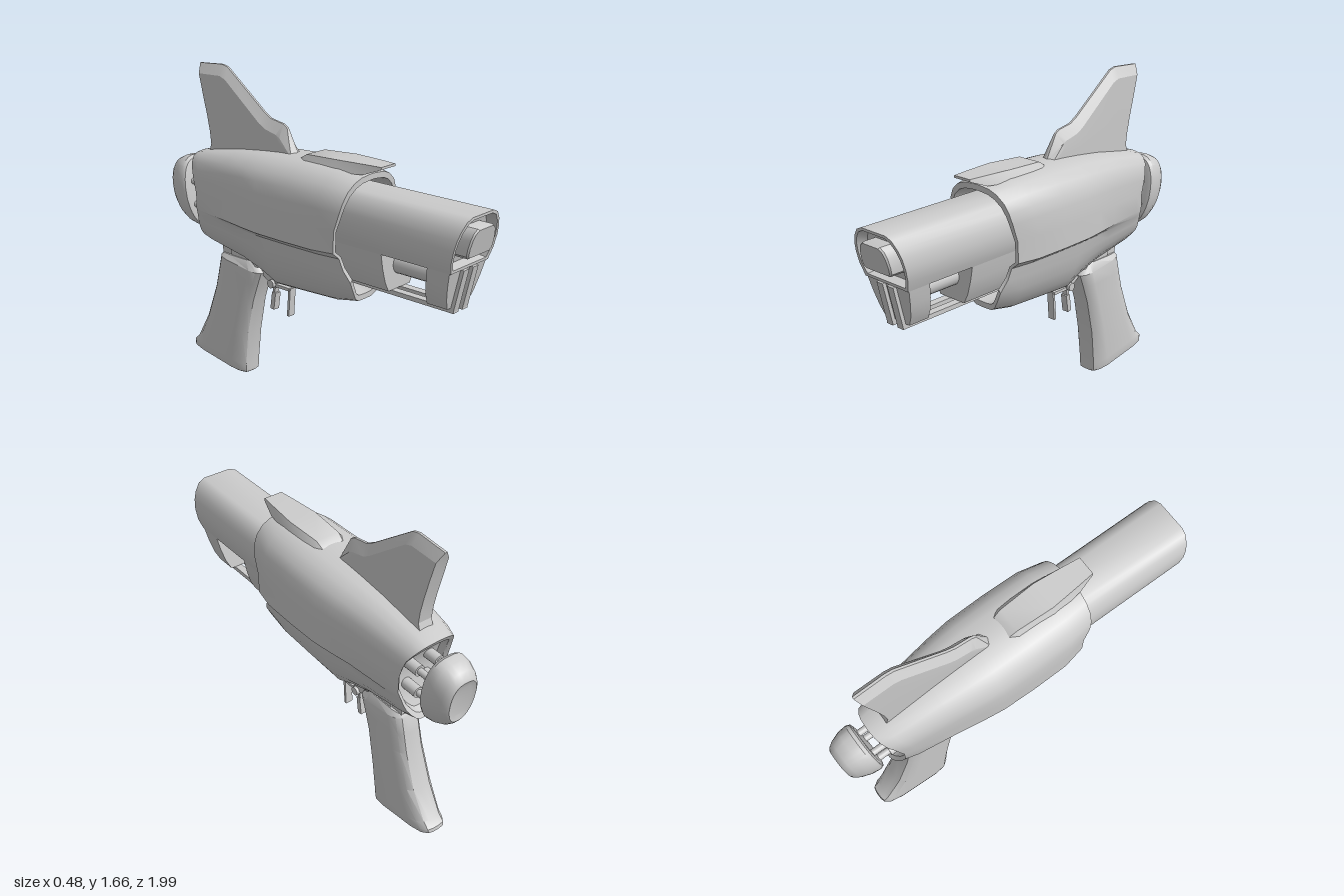
import * as THREE from 'three';
import { toCreasedNormals } from 'three/addons/utils/BufferGeometryUtils.js';

const material = new THREE.MeshStandardMaterial({ color: 0xcccccc, side: THREE.DoubleSide });

// Linear lookup in a list of [key, value] pairs with rising keys
function lookup(table, k) {
  if (k <= table[0][0]) return table[0][1];
  for (let i = 1; i < table.length; i++) {
    const [k0, v0] = table[i - 1], [k1, v1] = table[i];
    if (k <= k1) return v0 + (v1 - v0) * (k - k0) / (k1 - k0);
  }
  return table[table.length - 1][1];
}

// Closed skin through half sections of [x, y, z], each mirrored across x = 0
function loft(halves, crease = 0.6) {
  const rings = halves.map(h => [...h, ...h.map(([x, y, z]) => [-x, y, z]).reverse()]);
  const n = rings[0].length, pos = rings.flat(2), idx = [];
  for (let r = 0; r < rings.length - 1; r++) {
    for (let i = 0; i < n; i++) {
      const a = r * n + i, b = r * n + (i + 1) % n;
      idx.push(a, b, b + n, a, b + n, a + n);
    }
  }
  const last = (rings.length - 1) * n;
  for (let i = 0; i < n / 2 - 1; i++) {
    const a = i, b = i + 1, c = n - 2 - i, d = n - 1 - i;
    idx.push(a, c, b, a, d, c);
    idx.push(last + a, last + b, last + c, last + a, last + c, last + d);
  }
  // Turn the faces outward by the sign of the enclosed volume
  const p = i => new THREE.Vector3().fromArray(pos, i * 3);
  let volume = 0;
  for (let i = 0; i < idx.length; i += 3) volume += p(idx[i]).dot(p(idx[i + 1]).cross(p(idx[i + 2])));
  if (volume < 0) idx.reverse();
  const g = new THREE.BufferGeometry();
  g.setAttribute('position', new THREE.Float32BufferAttribute(pos, 3));
  g.setIndex(idx);
  return toCreasedNormals(g, crease);
}

export function createModel() {
  const gun = new THREE.Group();
  gun.name = 'toyBlaster';

  const add = (name, geometry) => {
    const m = new THREE.Mesh(geometry, material);
    m.name = name;
    gun.add(m);
    return m;
  };
  // Box-shaped bar between two points
  const bar = (name, a, b, w, h) => {
    const from = new THREE.Vector3(...a), to = new THREE.Vector3(...b);
    const m = add(name, new THREE.BoxGeometry(w, h, from.distanceTo(to)));
    m.position.copy(from).lerp(to, 0.5);
    m.lookAt(to);
  };
  // Cylinder along z
  const rod = (name, x, y, z0, z1, r) => {
    const m = add(name, new THREE.CylinderGeometry(r, r, Math.abs(z1 - z0), 16));
    m.rotation.x = Math.PI / 2;
    m.position.set(x, y, (z0 + z1) / 2);
  };

  // Body shell: wavy front edge, concave rear edge, stepped side seam
  const frontEdge = [[0.63, 0.32], [0.73, 0.35], [0.78, 0.34], [0.83, 0.3], [0.92, 0.295], [1.05, 0.3], [1.12, 0.335], [1.28, 0.365]];
  const rearEdge = [[0.73, -0.76], [0.8, -0.735], [0.9, -0.715], [1, -0.715], [1.1, -0.745], [1.19, -0.8]];
  const upper = [[0.08, 1], [0.4, 0.98], [0.62, 0.93], [0.82, 0.83], [0.94, 0.7], [0.99, 0.55], [1, 0.3], [1, 0]];
  const lower = [[1, 0], [0.92, 0.25], [0.82, 0.5], [0.64, 0.75], [0.45, 0.93], [0.3, 0.99], [0.05, 1]];
  const bodySection = (z, w, top, bottom, step, scale = 1, shift = 0) => {
    const t = (0.33 - z) / 1.1;
    return [
      ...upper.map(([x, f]) => [x * w, 0.91 + f * (top - 0.91)]),
      ...lower.map(([x, f]) => [x * w * step, 0.875 + f * (bottom - 0.875)]),
    ].map(([x, y]) => [x * scale, 0.95 + (y - 0.95) * scale,
      THREE.MathUtils.lerp(lookup(frontEdge, y), lookup(rearEdge, y), t) + shift]);
  };
  const front = [0.33, 0.205, 1.27, 0.635, 0.8], rear = [-0.77, 0.145, 1.19, 0.73, 0.92];
  add('bodyShell', loft([
    bodySection(...front, 0.86, -0.14),
    bodySection(...front, 0.91, 0),
    bodySection(...front),
    bodySection(0.2, 0.23, 1.29, 0.61, 0.78),
    bodySection(0, 0.233, 1.29, 0.6, 0.78),
    bodySection(-0.2, 0.229, 1.282, 0.59, 0.78),
    bodySection(-0.31, 0.216, 1.272, 0.635, 0.8),
    bodySection(-0.45, 0.195, 1.255, 0.675, 0.84),
    bodySection(-0.7, 0.163, 1.21, 0.715, 0.9),
    bodySection(...rear),
    bodySection(...rear, 0.88, 0.015),
    bodySection(...rear, 0.82, 0.05),
  ]));

  // Raised strip on top of the body, reaching forward as a visor
  add('topVisor', loft([
    [0.45, 0.05, 1.322, 0.052, 1.31], [0.36, 0.06, 1.322, 0.075, 1.275], [0.2, 0.075, 1.32, 0.1, 1.265],
    [0, 0.065, 1.31, 0.1, 1.26], [-0.04, 0.06, 1.285, 0.09, 1.25],
  ].map(([z, x0, y0, x1, y1]) => [[x0, y0, z], [x1, y1, z]])));

  // Barrel with slanted, recessed mouth
  const slant = y => 0.98 - (1.2 - y) * 0.234;
  const barrel = [[0.08, 1.203], [0.115, 1.187], [0.142, 1.15], [0.158, 1.11], [0.165, 1.06], [0.16, 1], [0.14, 0.945]];
  const mouth = (s, shift) => barrel.map(([x, y]) => [x * s, 1.075 + (y - 1.075) * s, slant(y) + shift]);
  add('barrel', loft([
    mouth(0.82, -0.05), mouth(0.9, 0), mouth(1, 0), barrel.map(([x, y]) => [x, y, 0.15]),
  ]));
  const plug = [[0.055, 1.148], [0.078, 1.13], [0.09, 1.1], [0.096, 1.06], [0.094, 1.025], [0.078, 1.01]];
  const plugRing = (s, z) => plug.map(([x, y]) => [x * s, 1.08 + (y - 1.08) * s, z + (y - 1.15) * 0.22]);
  add('muzzlePlug', loft([plugRing(1, 0.85), plugRing(1, 0.992), plugRing(0.93, 1)]));

  // Underside of the barrel: two columns framing an open window
  const column = [[0.14, 0.95], [0.125, 0.87], [0.105, 0.8], [0.08, 0.75]];
  add('rearColumn', loft([0.53, 0.15].map(z => column.map(([x, y]) => [x, y, z]))));
  add('frontColumn', loft([
    column.map(([x, y]) => [x, y, slant(y) - 0.008]),
    column.map(([x, y]) => [x, y, 0.755 + (y - 0.76) * 0.19]),
  ]));
  rod('windowRod', 0, 0.87, 0.5, 0.82, 0.05);
  for (const s of [-1, 1]) {
    bar('bottomRail', [s * 0.035, 0.737, 0.2], [s * 0.035, 0.737, 0.882], 0.04, 0.022);
    bar('frontRail', [s * 0.035, 0.945, 0.918], [s * 0.035, 0.73, 0.868], 0.04, 0.025);
  }

  // Tail fin: flat sides with a bevelled leading and top edge
  add('tailFin', loft([
    { edge: [1.28, -0.12], inner: [1.27, -0.13], base: [1.25, -0.13] },
    { edge: [1.4, -0.185], inner: [1.35, -0.21], base: [1.24, -0.21] },
    { edge: [1.415, -0.21], inner: [1.362, -0.235], base: [1.24, -0.235] },
    { edge: [1.43, -0.295], inner: [1.38, -0.31], base: [1.23, -0.31] },
    { edge: [1.455, -0.34], inner: [1.402, -0.35], base: [1.22, -0.36] },
    { edge: [1.65, -0.6], inner: [1.59, -0.59], base: [1.19, -0.6] },
    { edge: [1.66, -0.64], inner: [1.605, -0.63], base: [1.19, -0.62] },
    { edge: [1.65, -0.805], inner: [1.6, -0.785], base: [1.18, -0.725], bow: 0.032 },
  ].map(({ edge, inner, base, bow = 0 }) => [
    [0.006, ...edge], [0.036, ...inner],
    ...[0.75, 0.5, 0.3, 0.15].map(f => [0.038,
      base[0] + (inner[0] - base[0]) * f,
      base[1] + (inner[1] - base[1]) * f + bow * Math.sin(Math.PI * Math.sqrt(f))]),
    [0.038, ...base],
  ]), 0.4));

  // Rear cap: rounded, tilted, narrower below, held by four pins
  const capRing = ([z, ry, rx]) => Array.from({ length: 14 }, (_, i) => {
    const a = Math.PI * (i + 0.5) / 14, c = Math.cos(a), s = Math.sin(a);
    const y = ry * Math.sign(c) * Math.pow(Math.abs(c), 0.8);
    return [rx * Math.pow(s, 0.7) * (1 - 0.22 * Math.max(0, -c)), 0.962 + y, z - y * 0.14];
  });
  add('rearCap', loft([
    [-0.822, 0.15, 0.095], [-0.828, 0.18, 0.115], [-0.845, 0.19, 0.121], [-0.89, 0.183, 0.117],
    [-0.94, 0.16, 0.1], [-0.966, 0.135, 0.085], [-0.974, 0.12, 0.075], [-0.965, 0.09, 0.055],
  ].map(capRing)));
  for (const x of [-0.058, 0.058]) {
    for (const y of [1.02, 0.895]) {
      rod('capPin', x, y, -0.65, -0.85, 0.017);
      rod('pinSleeve', x, y, -0.65, -0.755, 0.028);
    }
  }

  // Grip: stations of front y, front z, back y, back z, half width
  add('grip', loft([
    [0.665, -0.39, 0.665, -0.635, 0.055], [0.61, -0.338, 0.65, -0.645, 0.076], [0.54, -0.365, 0.56, -0.666, 0.076],
    [0.44, -0.4, 0.46, -0.69, 0.077], [0.25, -0.44, 0.27, -0.76, 0.082], [0.06, -0.46, 0.125, -0.845, 0.08],
    [0.035, -0.46, 0.095, -0.878, 0.08], [0.012, -0.462, 0.075, -0.882, 0.076], [0.003, -0.475, 0.066, -0.87, 0.062],
  ].map(([yf, zf, yb, zb, w]) =>
    [[0.25, 0], [0.6, 0.015], [0.88, 0.09], [1, 0.22], [1, 0.75], [0.88, 0.91], [0.6, 0.985], [0.25, 1]]
      .map(([x, f]) => [x * w, yf + (yb - yf) * f, zf + (zb - zf) * f]))));
  bar('gripNeck', [0, 0.69, -0.36], [0, 0.69, -0.56], 0.1, 0.1);
  bar('gripNeckRear', [0, 0.675, -0.5], [0, 0.675, -0.63], 0.085, 0.05);

  // Trigger, its guard and pivot
  bar('guardTop', [0, 0.56, -0.165], [0, 0.56, -0.3], 0.05, 0.016);
  bar('guardFront', [0, 0.565, -0.165], [0, 0.41, -0.177], 0.04, 0.014);
  bar('guardLink', [0, 0.565, -0.26], [0, 0.64, -0.38], 0.06, 0.035);
  bar('triggerStem', [0, 0.57, -0.275], [0, 0.5, -0.284], 0.03, 0.016);
  bar('triggerBlade', [0, 0.515, -0.278], [0, 0.42, -0.292], 0.038, 0.026);
  const pivot = add('triggerPivot', new THREE.CylinderGeometry(0.022, 0.022, 0.09, 16));
  pivot.rotation.z = Math.PI / 2;
  pivot.position.set(0, 0.568, -0.278);

  // The whole piece sits slightly turned
  gun.rotation.y = -0.053;
  gun.position.x = -0.005;
  const root = new THREE.Group();
  root.add(gun);
  return root;
}
